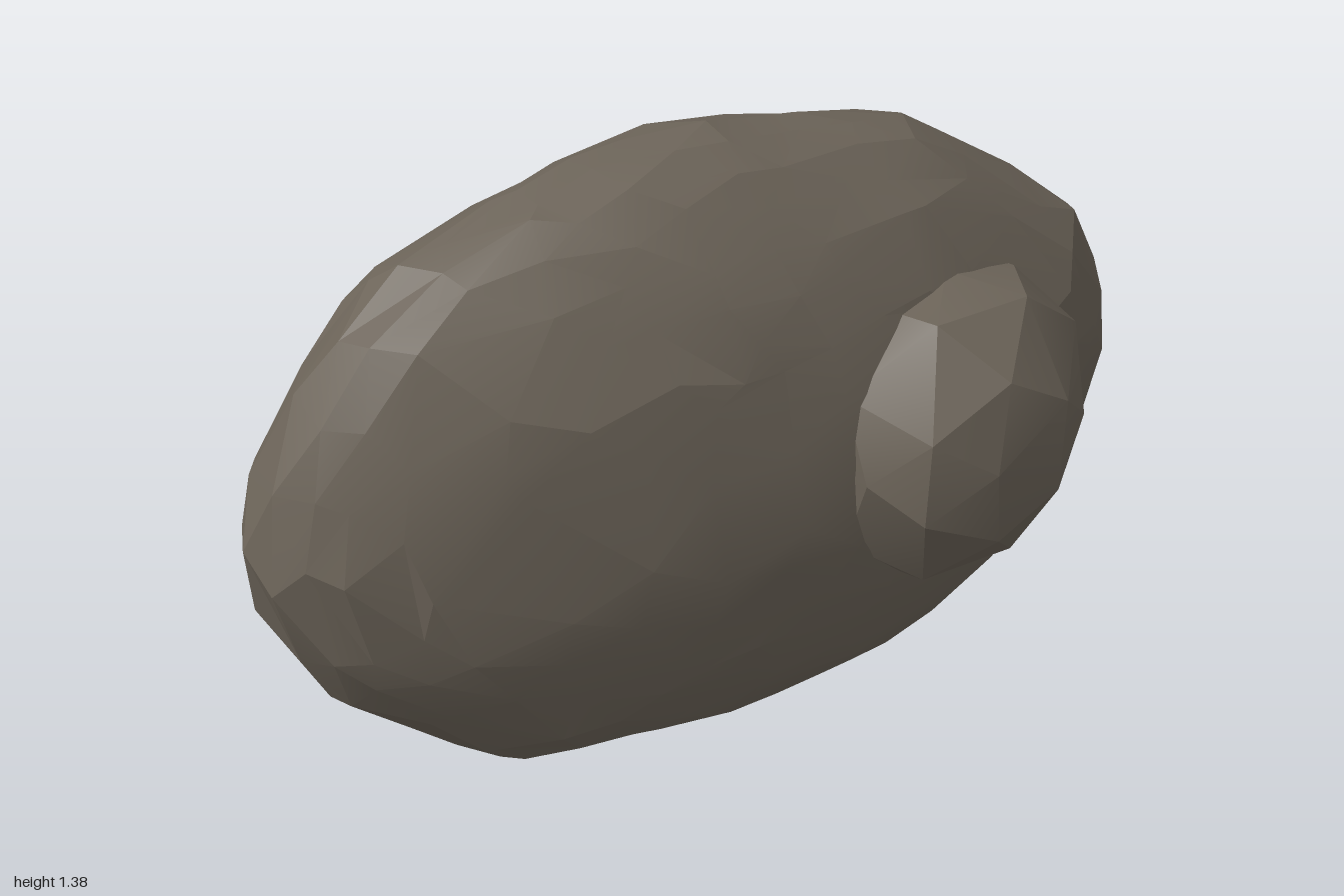
import * as THREE from 'three';
import { mergeVertices, toCreasedNormals } from 'three/addons/utils/BufferGeometryUtils.js';

const MID = 0.69; // height of the body's centre

// Outline of the body seen from the front, anticlockwise from the right
const OUTLINE = [
  [1, 0.7], [1, 0.8], [0.93, 1.02], [0.7, 1.18], [0.48, 1.305], [0.22, 1.345], [-0.02, 1.385],
  [-0.2, 1.365], [-0.43, 1.305], [-0.67, 1.22], [-0.75, 1.165], [-0.88, 1.0], [-0.94, 0.9], [-1, 0.7],
  [-0.95, 0.52], [-0.87, 0.38], [-0.52, 0.085], [-0.05, 0], [0.28, 0.025], [0.45, 0.065],
  [0.69, 0.165], [0.93, 0.45],
].map(([x, y]) => [x, y - MID]);

// Distance from the centre to the outline along direction (dx, dy)
function outlineRadius(dx, dy) {
  for (let i = 0; i < OUTLINE.length; i++) {
    const [ax, ay] = OUTLINE[i];
    const [bx, by] = OUTLINE[(i + 1) % OUTLINE.length];
    const ca = ax * dy - ay * dx;
    const cb = bx * dy - by * dx;
    if (ca >= -1e-9 && cb <= 1e-9 && ax * dx + ay * dy > 0) {
      return (ax * by - ay * bx) / (dx * (by - ay) - dy * (bx - ax));
    }
  }
  return 1;
}

function seeded(seed) {
  return () => {
    seed = (seed * 16807) % 2147483647;
    return seed / 2147483647;
  };
}

// Rough stone: an icosphere whose vertices are jittered, then placed by a rule
function stone(name, material, detail, seed, jitter, crease, place) {
  let geo = new THREE.IcosahedronGeometry(1, detail);
  geo.deleteAttribute('normal');
  geo.deleteAttribute('uv');
  geo = mergeVertices(geo, 1e-4);
  const pos = geo.attributes.position;
  const rand = seeded(seed);
  const v = new THREE.Vector3();
  for (let i = 0; i < pos.count; i++) {
    v.fromBufferAttribute(pos, i);
    v.x += (rand() - 0.5) * 0.13; // uneven facets
    v.y += (rand() - 0.5) * 0.13;
    v.z += (rand() - 0.5) * 0.13;
    v.normalize();
    const bump = 1 + (rand() - 0.5) * jitter;
    place(v, bump);
    pos.setXYZ(i, v.x, v.y, v.z);
  }
  const mesh = new THREE.Mesh(toCreasedNormals(geo, crease), material);
  mesh.name = name;
  return mesh;
}

// Slightly boxy boulder sunk into the body, leaning sideways and tapering in height
function boulder(name, material, detail, seed, centre, radii, power, taper) {
  return stone(name, material, detail, seed, 0.05, 0.35, (v, bump) => {
    const n = Math.pow(
      Math.abs(v.x) ** power + Math.abs(v.y) ** power + Math.abs(v.z) ** power, 1 / power);
    v.multiplyScalar(bump / n);
    v.set(
      centre[0] + v.x * radii[0] - 0.04 * v.z,
      centre[1] + v.y * radii[1] * (1 - taper * Math.abs(v.z)),
      centre[2] + v.z * radii[2]);
  });
}

export function createModel() {
  const group = new THREE.Group();
  group.name = 'asteroid';
  const rock = new THREE.MeshStandardMaterial({ color: 0x6b6358 });
  rock.name = 'brown grey rock';

  // Flattened main body, its rim following the outline, back bevelled above and below
  group.add(stone('body', rock, 5, 77, 0.035, 0.2, (v, bump) => {
    const s = Math.hypot(v.x, v.y);
    const dx = s > 1e-6 ? v.x / s : 1;
    const dy = s > 1e-6 ? v.y / s : 0;
    const r = outlineRadius(dx, dy) * s * (1 + (bump - 1) * 0.4);
    const rim = -0.04 * dy * dy * s - 0.015;
    const depth = v.z > 0
      ? 0.34 * (1 + 0.06 * Math.max(0, v.y))
      : 0.345 * (1 - (v.y > 0 ? 0.18 : 0.24) * Math.abs(v.y) ** 1.3);
    v.set(THREE.MathUtils.clamp(dx * r, -1, 1), Math.max(0, MID + dy * r),
      rim + v.z * depth * bump);
  }));

  // Large lump on the front, smaller one on the back
  group.add(boulder('frontLump', rock, 1, 31, [0.45, 0.73, 0.19], [0.315, 0.335, 0.275], 2.4, 0));
  group.add(boulder('backLump', rock, 1, 58, [-0.34, 0.65, -0.28], [0.24, 0.27, 0.185], 2.2, 0.45));

  return group;
}
